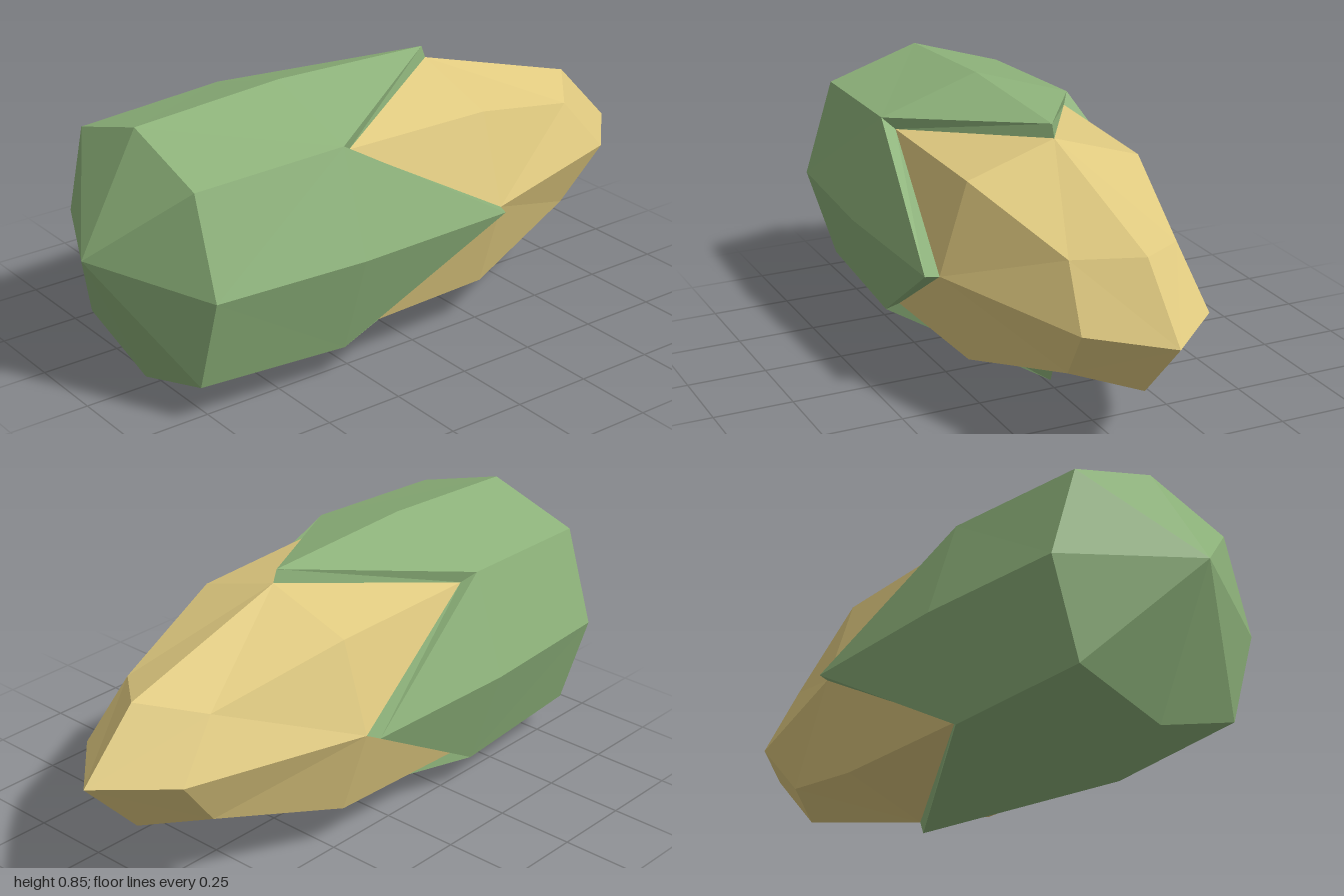
import * as THREE from 'three';

const CENTRE_Y = 0.43;

// Eight-point ring around the x axis: points on the y/z axes use (x, r),
// points on the diagonals use (dx, d) with d the offset along both y and z.
function ring(x, r, dx = x, d = r * Math.SQRT1_2, y = 0, z = 0) {
  return Array.from({ length: 8 }, (_, i) => {
    const a = (i * Math.PI) / 4;
    const [px, rad] = i % 2 ? [dx, d * Math.SQRT2] : [x, r];
    return new THREE.Vector3(px, CENTRE_Y + y + rad * Math.cos(a), z + rad * Math.sin(a));
  });
}

// Faceted skin between successive rings, leaving out collapsed triangles
function loft(name, color, rings) {
  const pos = [];
  const tri = (a, b, c) => {
    if (new THREE.Triangle(a, b, c).getArea() > 1e-6) {
      for (const p of [a, b, c]) pos.push(p.x, p.y, p.z);
    }
  };
  for (let k = 0; k < rings.length - 1; k++) {
    const [p, q] = [rings[k], rings[k + 1]];
    for (let i = 0; i < 8; i++) {
      const j = (i + 1) % 8;
      // mirror the split so every diagonal starts from an axis point
      if (i % 2) {
        tri(p[i], p[j], q[i]);
        tri(p[j], q[j], q[i]);
      } else {
        tri(p[i], p[j], q[j]);
        tri(p[i], q[j], q[i]);
      }
    }
  }
  const geometry = new THREE.BufferGeometry();
  geometry.setAttribute('position', new THREE.Float32BufferAttribute(pos, 3));
  geometry.computeVertexNormals();
  const mesh = new THREE.Mesh(geometry, new THREE.MeshStandardMaterial({
    color, flatShading: true, side: THREE.DoubleSide,
  }));
  mesh.name = name;
  return mesh;
}

export function createModel() {
  const group = new THREE.Group();
  group.name = 'cornCob';

  // Husk: closed stalk end, body, four pointed leaves and their thick rim
  group.add(loft('husk', 0x8db27a, [
    ring(-1, 0, -1, 0, 0.045, 0.015),
    ring(-0.8, 0.395, -0.8, 0.3),
    ring(-0.31, 0.425, -0.31, 0.32),
    ring(0.225, 0.41, -0.31, 0.32),
    ring(0.24, 0.37, -0.27, 0.29),
  ]));

  // Cob: emerges between the leaves and tapers to a point
  group.add(loft('cob', 0xe0ca80, [
    ring(0.24, 0.37, -0.27, 0.29),
    ring(0.24, 0.37, 0.24, 0.28),
    ring(0.81, 0.2, 0.67, 0.17),
    ring(1, 0),
  ]));
  return group;
}
